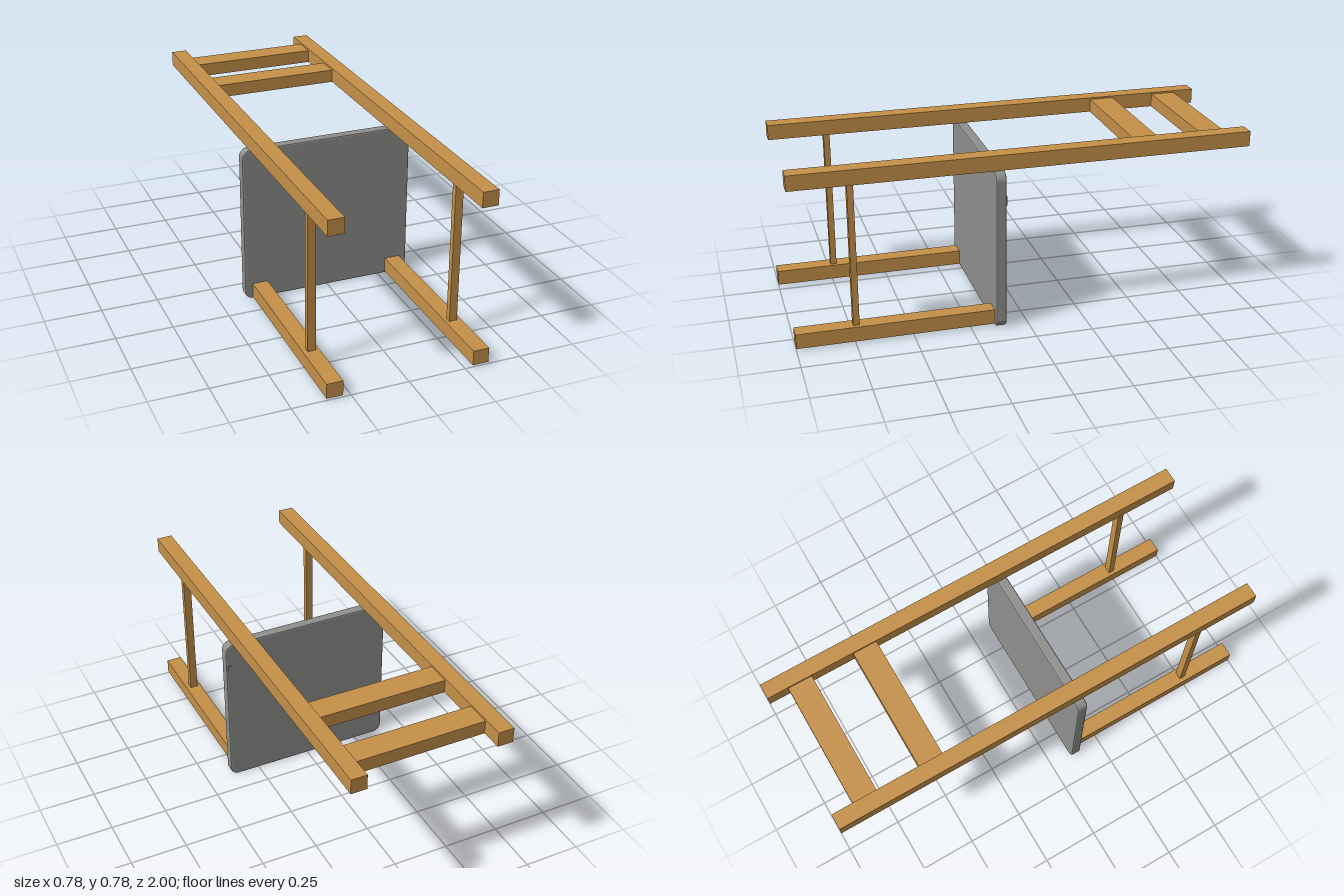
import * as THREE from 'three';

export function createModel() {
  const model = new THREE.Group();
  const wood = new THREE.MeshStandardMaterial({ color: 0xc69149 });
  wood.name = 'wood';
  const grey = new THREE.MeshStandardMaterial({ color: 0x90908e });
  grey.name = 'grey seat';

  // box given by its minimum and maximum on each axis
  const box = (name, [x0, x1], [y0, y1], [z0, z1], material = wood) => {
    const mesh = new THREE.Mesh(new THREE.BoxGeometry(x1 - x0, y1 - y0, z1 - z0), material);
    mesh.position.set((x0 + x1) / 2, (y0 + y1) / 2, (z0 + z1) / 2);
    mesh.name = name;
    model.add(mesh);
  };

  // the chair lies on its back: legs run along z, the seat stands upright
  for (const [side, s] of [['left', 1], ['right', -1]]) {
    const span = (a, b) => (s > 0 ? [a, b] : [-b, -a]);
    box(side + 'BackPost', span(0.284, 0.354), [0.711, 0.778], [-1, 1]);
    box(side + 'FrontLeg', span(0.284, 0.354), [0.008, 0.074], [0.143, 1]);
    box(side + 'Stretcher', span(0.3, 0.335), [0.073, 0.712], [0.728, 0.755]);
  }

  // backrest rails
  box('topRail', [-0.285, 0.285], [0.711, 0.77], [-0.905, -0.795]);
  box('lowerRail', [-0.285, 0.285], [0.711, 0.77], [-0.6, -0.49]);

  // seat slab with rounded corners and a slight edge bevel
  const bevel = 0.006, w = 0.388 - bevel, y0 = bevel, y1 = 0.711 - bevel, r = 0.032;
  const outline = new THREE.Shape();
  outline.absarc(w - r, y1 - r, r, 0, Math.PI / 2);
  outline.absarc(-w + r, y1 - r, r, Math.PI / 2, Math.PI);
  outline.absarc(-w + r, y0 + r, r, Math.PI, Math.PI * 1.5);
  outline.absarc(w - r, y0 + r, r, Math.PI * 1.5, Math.PI * 2);
  const seat = new THREE.Mesh(new THREE.ExtrudeGeometry(outline, {
    depth: 0.045 - 2 * bevel, curveSegments: 4,
    bevelEnabled: true, bevelSize: bevel, bevelThickness: bevel, bevelSegments: 2,
  }), grey);
  seat.position.z = 0.1 + bevel;
  seat.name = 'seat';
  model.add(seat);

  // small tab on the underside of the seat
  box('seatTab', [0.362, 0.38], [0.565, 0.605], [0.097, 0.102], grey);

  return model;
}
